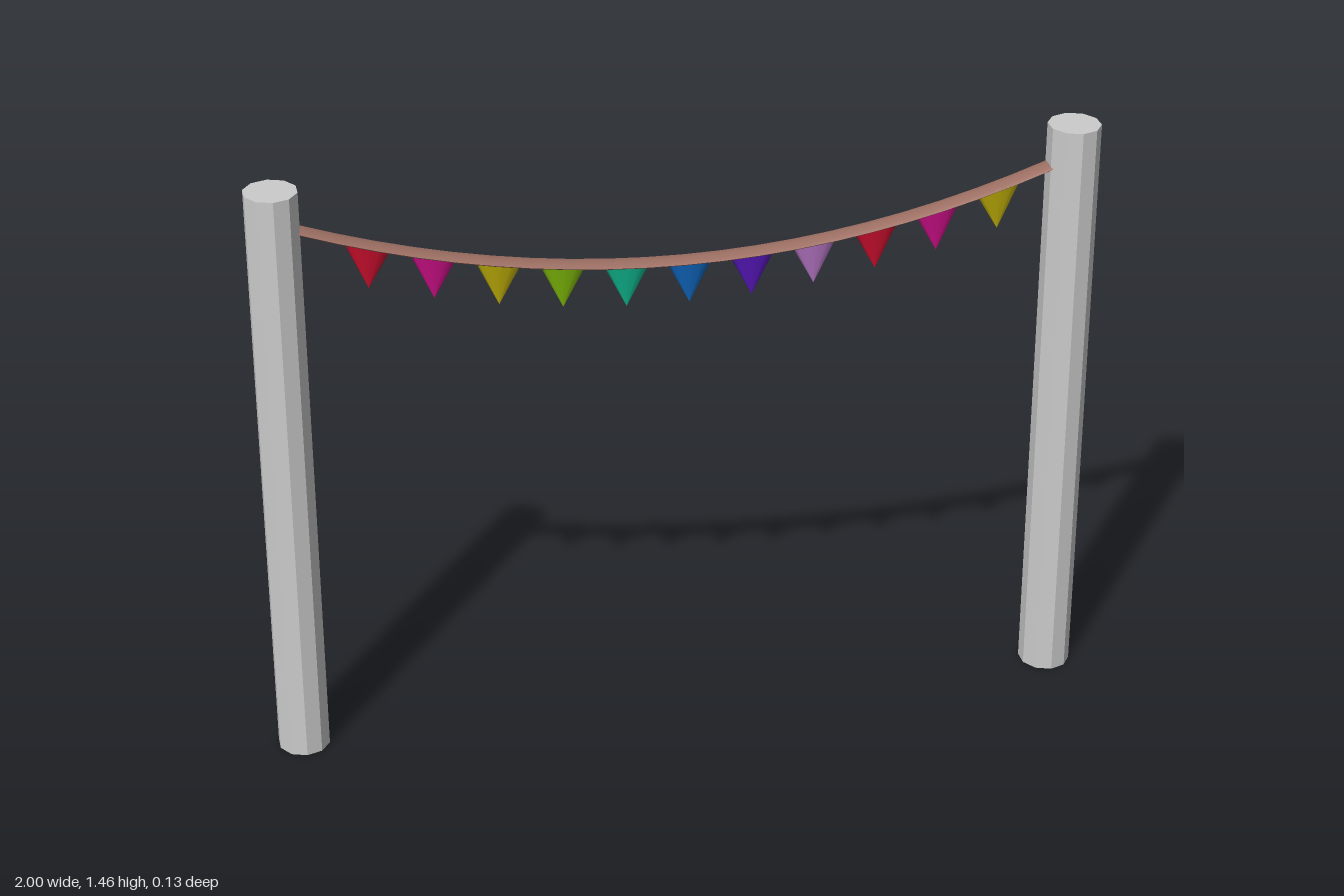
import * as THREE from 'three';

const HALF_SPAN = 0.885;
// Sag of the cord in height and its slight bow toward the front
const cordY = x => 1.203 + 0.152 * (x / HALF_SPAN) ** 2;
const cordZ = x => 0.017 * (1 - (x / HALF_SPAN) ** 2);

// Move every vertex of a geometry by a rule
function reshape(geometry, rule) {
  const pos = geometry.attributes.position;
  const v = new THREE.Vector3();
  for (let i = 0; i < pos.count; i++) {
    rule(v.fromBufferAttribute(pos, i));
    pos.setXYZ(i, v.x, v.y, v.z);
  }
  geometry.computeVertexNormals();
  return geometry;
}

function addMesh(parent, name, geometry, color, flatShading = false) {
  const material = new THREE.MeshStandardMaterial({ color, flatShading });
  const mesh = new THREE.Mesh(geometry, material);
  mesh.name = name;
  parent.add(mesh);
  return mesh;
}

export function createModel() {
  const group = new THREE.Group();
  group.name = 'pennantGarland';

  // Two ten-sided posts, slightly narrower across x
  for (const side of [-1, 1]) {
    const geometry = new THREE.CylinderGeometry(0.067, 0.067, 1.455, 10);
    geometry.scale(0.94, 1, 1);
    const post = addMesh(group, side < 0 ? 'rightPost' : 'leftPost', geometry, 0xcccccc, true);
    post.position.set(side * 0.94, 1.455 / 2, 0);
  }

  // Flattened cord hanging between the posts
  const cord = new THREE.CylinderGeometry(0.028, 0.028, HALF_SPAN * 2, 8, 20);
  cord.rotateZ(Math.PI / 2);
  cord.scale(1, 0.27, 1);
  reshape(cord, v => {
    v.y += cordY(v.x);
    v.z += cordZ(v.x);
  });
  addMesh(group, 'cord', cord, 0x9e7064);

  // Row of pointed pennants, each with its top edge following the cord
  const colors = [0xd0102f, 0xd0108a, 0xbfae08, 0x7fba08, 0x10b890, 0x1068c0, 0x5a18c0, 0xb878c8];
  const pennants = new THREE.Group();
  pennants.name = 'pennants';
  group.add(pennants);
  for (let i = 0; i < 11; i++) {
    const x = -0.73 + i * 0.149;
    const geometry = new THREE.ConeGeometry(0.055, 0.108, 12);
    geometry.rotateX(Math.PI);
    geometry.translate(0, -0.054, 0);
    geometry.scale(1, 1, 0.36);
    reshape(geometry, v => {
      v.y += v.y > -0.01 ? cordY(x + v.x) : cordY(x);
      v.z += cordZ(x);
      v.x += x;
    });
    addMesh(pennants, `pennant${i + 1}`, geometry, colors[i % colors.length]);
  }
  return group;
}
